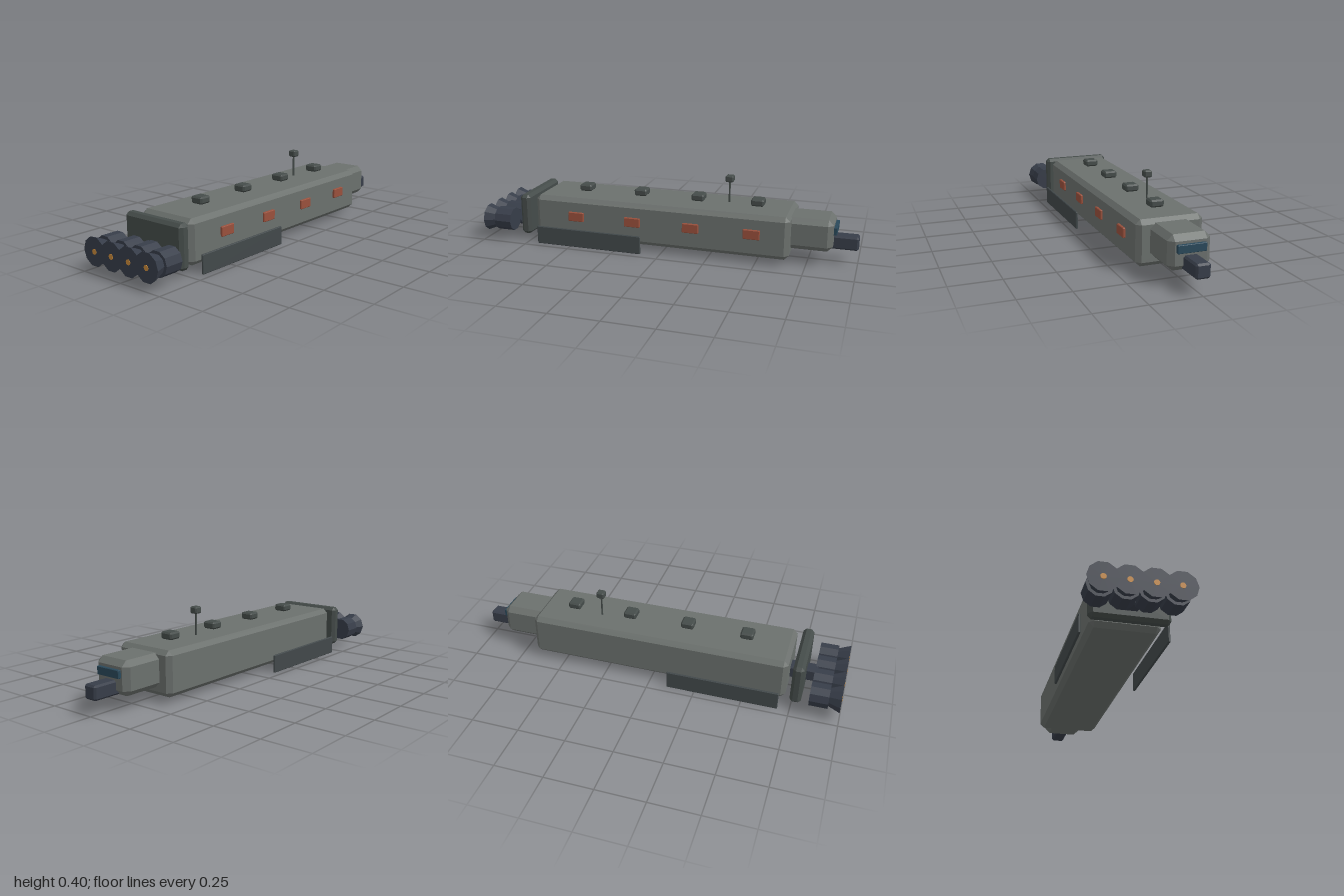
import * as THREE from 'three';
import { ConvexGeometry } from 'three/addons/geometries/ConvexGeometry.js';

const mat = (color) => new THREE.MeshStandardMaterial({ color, flatShading: true });
const hullMat = mat(0x6b706d), trimMat = mat(0x454c4a), skirtMat = mat(0x41484a);
const engineMat = mat(0x373d49), hatchMat = mat(0x99503c), glassMat = mat(0x29485a), glowMat = mat(0xc98a3a);

// Box between two corners with every edge chamfered by c
function chamferBox([x0, y0, z0], [x1, y1, z1], c) {
  const centre = new THREE.Vector3((x0 + x1) / 2, (y0 + y1) / 2, (z0 + z1) / 2);
  const h = [(x1 - x0) / 2, (y1 - y0) / 2, (z1 - z0) / 2];
  const points = [];
  for (const sx of [-1, 1]) for (const sy of [-1, 1]) for (const sz of [-1, 1]) {
    for (let axis = 0; axis < 3; axis++) {
      const [a, b, d] = h.map((v, i) => (i === axis ? v : v - c));
      points.push(new THREE.Vector3(sx * a, sy * b, sz * d).add(centre));
    }
  }
  return new ConvexGeometry(points);
}

export function createModel() {
  const model = new THREE.Group();
  model.name = 'ship';
  const add = (name, geometry, material, parent = model) => {
    const mesh = new THREE.Mesh(geometry, material);
    mesh.name = name;
    parent.add(mesh);
    return mesh;
  };

  // Main body, stern collar, nose and the beam running through them
  add('hull', chamferBox([-0.716, 0.032, -0.168], [0.668, 0.257, 0.168], 0.023), hullMat);
  add('sternCollar', chamferBox([-0.8, 0.035, -0.188], [-0.742, 0.257, 0.188], 0.016), trimMat);
  add('nose', chamferBox([0.6, 0.074, -0.104], [0.876, 0.24, 0.104], 0.027), hullMat);
  add('spine', chamferBox([-0.86, 0.076, -0.036], [1, 0.147, 0.036], 0.009), engineMat);
  add('window', chamferBox([0.874, 0.161, -0.07], [0.892, 0.2, 0.07], 0.002), glassMat);

  // Side hatches and roof pods share the same spacing
  for (let i = 0; i < 4; i++) {
    const x = -0.475 + i * 0.318;
    add('sideHatch', chamferBox([x - 0.043, 0.133, 0.164], [x + 0.043, 0.183, 0.18], 0.003), hatchMat);
    add('roofPod', chamferBox([x - 0.034, 0.263, -0.035], [x + 0.034, 0.3, 0.036], 0.008), trimMat);
  }

  // Sensor mast
  add('mast', new THREE.CylinderGeometry(0.005, 0.005, 0.125, 8), trimMat).position.set(0.32, 0.312, -0.026);
  add('sensorHead', chamferBox([0.299, 0.368, -0.047], [0.342, 0.403, -0.005], 0.006), trimMat);

  // Skirt plates hanging off both flanks
  for (const s of [-1, 1]) {
    const z = s * 0.208;
    add('sideSkirt', chamferBox([-0.69, 0, z - 0.006], [-0.1, 0.097, z + 0.006], 0.003), skirtMat);
  }

  // Row of four engines, each a drum with a flared nozzle and a glowing core
  const along = (rBack, rFront, x0, x1) => {
    const g = new THREE.CylinderGeometry(rBack, rFront, x1 - x0, 10);
    return g.rotateZ(Math.PI / 2).translate((x0 + x1) / 2, 0, 0);
  };
  for (let i = 0; i < 4; i++) {
    const engine = new THREE.Group();
    engine.name = 'engine';
    engine.position.set(0, 0.111, -0.172 + i * 0.1147);
    add('engineDrum', along(0.063, 0.063, -0.937, -0.842), engineMat, engine);
    add('nozzle', along(0.073, 0.045, -0.998, -0.93), engineMat, engine);
    add('nozzleCore', along(0.014, 0.014, -1, -0.99), glowMat, engine);
    model.add(engine);
  }
  return model;
}
